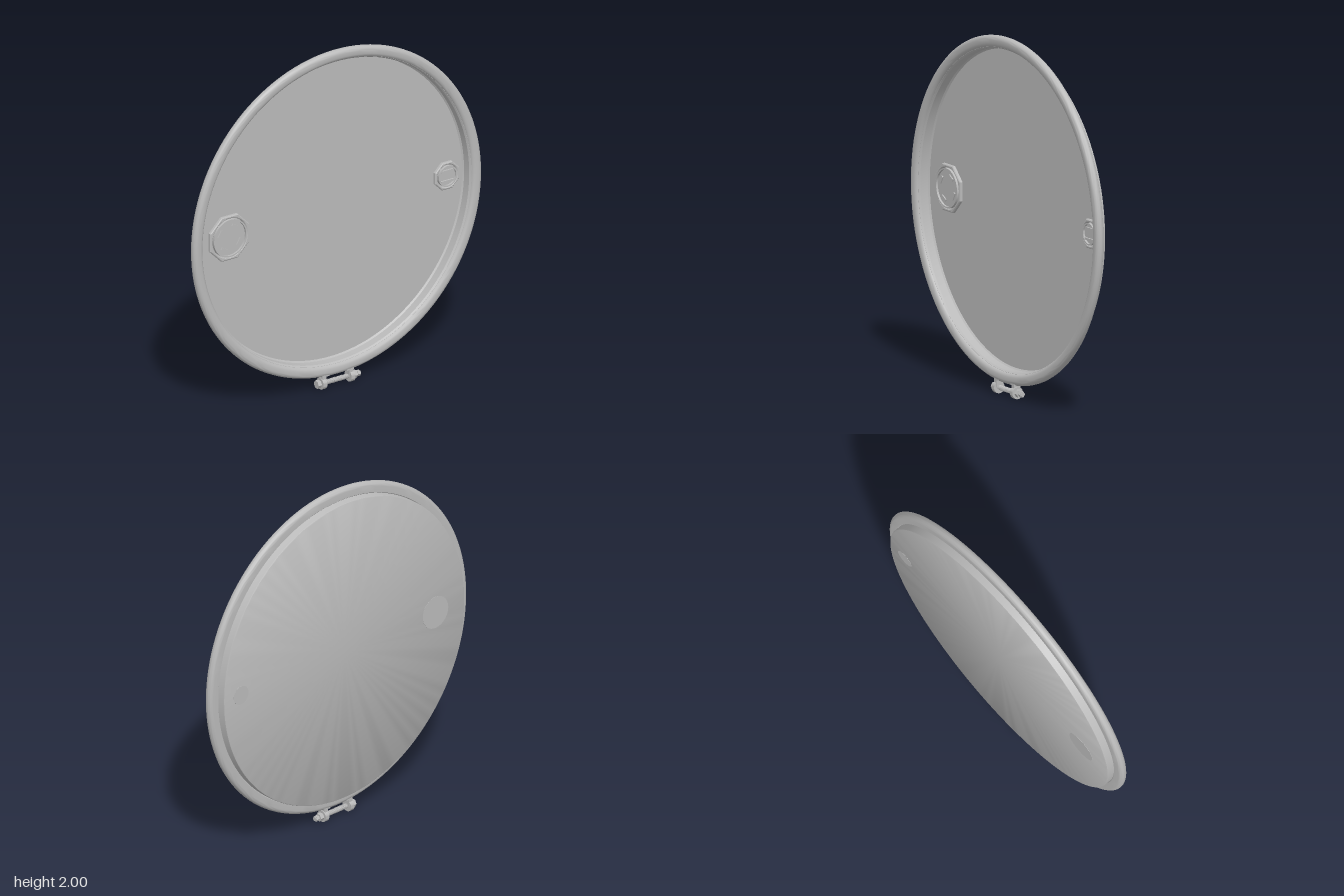
import * as THREE from 'three';
import { toCreasedNormals } from 'three/addons/utils/BufferGeometryUtils.js';

const CY = 1.035; // height of the lid's centre
const FLOOR = -0.036; // front of the recessed floor

export function createModel() {
  const model = new THREE.Group();
  const steel = new THREE.MeshStandardMaterial({ color: 0xbababa });
  steel.name = 'grey steel';

  const add = (name, geo, x = 0, y = 0, z = 0, parent = model) => {
    const mesh = new THREE.Mesh(geo, steel);
    mesh.name = name;
    mesh.position.set(x, y, z);
    parent.add(mesh);
    return mesh;
  };

  // Lathe whose axis points along +z; points are [radius, z]
  const turned = (pts, segments = 128) => toCreasedNormals(
    new THREE.LatheGeometry(pts.map(([r, z]) => new THREE.Vector2(r, z)), segments).rotateX(Math.PI / 2), 0.6);

  // Cylinder along z (axis 'z') or x (axis 'x')
  const rod = (r, length, axis, sides = 32) => {
    const g = new THREE.CylinderGeometry(r, r, length, sides);
    if (axis === 'z') g.rotateX(Math.PI / 2); else g.rotateZ(Math.PI / 2);
    return toCreasedNormals(g, 0.6);
  };

  // Pressed pan with a recessed floor
  add('lidPan', turned([[0, -0.046], [0.893, -0.046], [0.898, -0.043], [0.9, -0.038],
    [0.9, 0.01], [0.91, 0.03], [0.9, 0.03], [0.893, 0.02], [0.893, -0.028], [0.885, FLOOR], [0, FLOOR]]), 0, CY);

  // Rounded clamp ring around the rim
  const ring = [[0.9, 0.024], [0.9, 0.002], [0.904, -0.002], [0.94, -0.002]];
  for (let i = 0; i <= 12; i++) {
    const a = -Math.PI / 2 + (Math.PI * i) / 12;
    ring.push([0.94 + 0.025 * Math.cos(a), 0.0225 + 0.0245 * Math.sin(a)]);
  }
  ring.push([0.92, 0.046], [0.91, 0.042], [0.902, 0.034], [0.9, 0.024]);
  add('clampRing', turned(ring), 0, CY);

  // Octagonal collar with a round opening
  const collar = (flat, hole, depth) => {
    const shape = new THREE.Shape();
    const r = flat / Math.cos(Math.PI / 8);
    for (let i = 0; i < 8; i++) {
      const a = Math.PI / 8 + (i * Math.PI) / 4;
      shape[i ? 'lineTo' : 'moveTo'](r * Math.cos(a), r * Math.sin(a));
    }
    shape.closePath();
    shape.holes.push(new THREE.Path().absarc(0, 0, hole, 0, Math.PI * 2, true));
    return toCreasedNormals(new THREE.ExtrudeGeometry(shape, {
      depth, curveSegments: 24, bevelThickness: 0.004, bevelSize: 0.005, bevelOffset: -0.005, bevelSegments: 1,
    }), 0.4);
  };

  // Bung: collar, threaded lip, plug, and the disc on the back of the lid
  const bung = (name, x, flat, hole, backRadius) => {
    const g = new THREE.Group();
    g.name = name;
    g.position.set(x, CY, FLOOR);
    model.add(g);
    add('collar', collar(flat, hole, 0.014), 0, 0, 0, g);
    add('lip', turned([[hole - 0.012, 0], [hole - 0.004, 0], [hole - 0.004, 0.024],
      [hole - 0.012, 0.024], [hole - 0.012, 0]], 48), 0, 0, 0, g);
    add('plug', rod(hole - 0.01, 0.012, 'z', 48), 0, 0, 0.006, g);
    add('backDisc', rod(backRadius, 0.004, 'z', 48), 0, 0, -0.009, g);
    return g;
  };

  // Large bung with wrench lugs set around the plug
  const large = bung('largeBung', -0.68, 0.13, 0.115, 0.095);
  for (let i = 0; i < 4; i++) {
    const a = Math.PI / 3 + (i * Math.PI) / 2;
    const lug = add('wrenchLug', new THREE.BoxGeometry(0.045, 0.014, 0.008),
      0.072 * Math.cos(a), 0.072 * Math.sin(a), 0.015, large);
    lug.rotation.z = a + Math.PI / 2;
  }

  // Small bung with two grip bars
  const small = bung('smallBung', 0.775, 0.08, 0.066, 0.055);
  for (const s of [-1, 1]) {
    add('gripBar', new THREE.BoxGeometry(0.085, 0.012, 0.011), 0, s * 0.03, 0.016, small);
  }

  // Closing bolt under the ring
  const bolt = new THREE.Group();
  bolt.name = 'closingBolt';
  bolt.position.set(0, 0.035, 0.0225);
  model.add(bolt);
  add('shank', rod(0.012, 0.28, 'x', 20), 0.02, 0, 0, bolt);
  add('boltHead', rod(0.024, 0.022, 'x', 6), -0.121, 0, 0, bolt);
  add('nut', rod(0.023, 0.024, 'x', 6), 0.12, 0, 0, bolt);
  add('endNut', rod(0.017, 0.018, 'x', 6), 0.147, 0, 0, bolt);
  for (let i = 0; i < 16; i++) {
    add('thread', new THREE.TorusGeometry(0.012, 0.003, 6, 20).rotateY(Math.PI / 2), -0.07 + i * 0.0093, 0, 0, bolt);
  }

  // Lugs that hang from the ring and carry the bolt
  for (const s of [-1, 1]) {
    add('lugEye', rod(0.034, 0.026, 'x', 32), s * 0.094, 0, 0, bolt);
    add('lugNeck', new THREE.BoxGeometry(0.026, 0.06, 0.04), s * 0.09, 0.03, 0, bolt);
    add('lugFoot', new THREE.BoxGeometry(0.045, 0.016, 0.042), s * 0.082, 0.05, 0, bolt);
  }
  return model;
}
